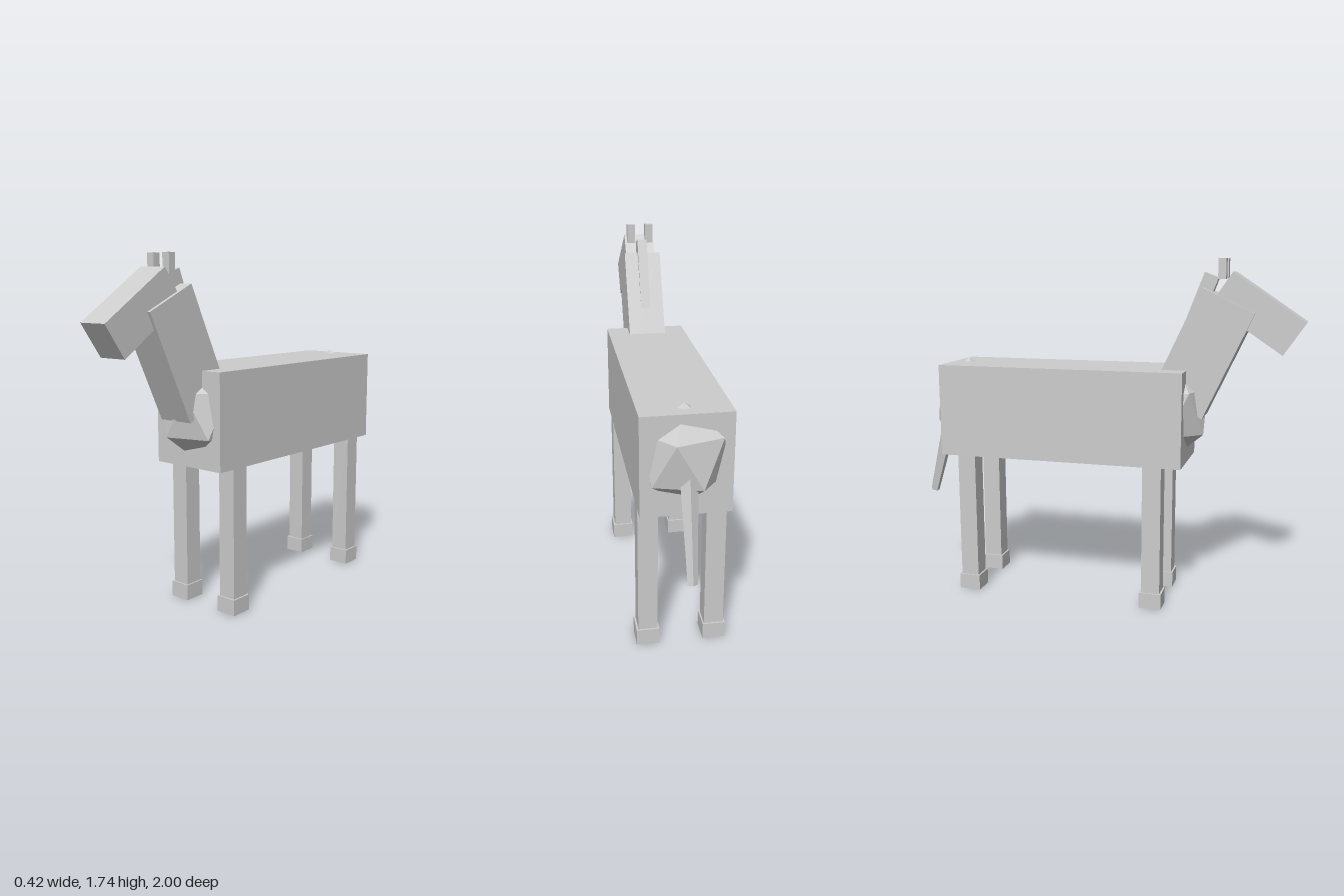
import * as THREE from 'three';
import { ConvexGeometry } from 'three/addons/geometries/ConvexGeometry.js';

export function createModel() {
  const model = new THREE.Group();
  model.name = 'lowPolyHorse';
  const coat = new THREE.MeshStandardMaterial({ color: 0xcccccc, flatShading: true });
  coat.name = 'coatGrey';

  function add(name, geometry, [x, y, z], tilt = 0) {
    const mesh = new THREE.Mesh(geometry, coat);
    mesh.name = name;
    mesh.position.set(x, y, z);
    mesh.rotation.x = tilt;
    model.add(mesh);
  }
  const box = (name, size, position, tilt) =>
    add(name, new THREE.BoxGeometry(...size), position, tilt);

  // Twenty-faced ball: two poles and two staggered rings of five
  function facetedBall(rx, ry, rz) {
    const h = 1 / Math.sqrt(5), r = 2 * h;
    const points = [new THREE.Vector3(0, ry, 0), new THREE.Vector3(0, -ry, 0)];
    for (let i = 0; i < 5; i++) {
      const a = (i * 2 * Math.PI) / 5;
      const x = r * Math.cos(a) * rx, z = r * Math.sin(a) * rz;
      points.push(new THREE.Vector3(x, h * ry, z), new THREE.Vector3(-x, -h * ry, z));
    }
    return new ConvexGeometry(points);
  }

  // Trunk, chest and rump
  box('body', [0.41, 0.47, 1.265], [0, 0.965, 0.1925 - 0.385]);
  add('chest', facetedBall(0.214, 0.242, 0.182), [0, 0.988, 0.37]);
  add('rump', facetedBall(0.214, 0.235, 0.19), [0, 0.987, -0.745]);

  // Neck, mane and head
  box('neck', [0.19, 0.569, 0.283], [0, 1.281, 0.512], 0.436);
  box('mane', [0.05, 0.5, 0.073], [0, 1.423, 0.453], 0.365);
  box('head', [0.156, 0.186, 0.42], [0, 1.4775, 0.772], 0.595);

  // Ears, legs and hooves on both sides
  for (const [side, s] of [['left', 1], ['right', -1]]) {
    box(side + 'Ear', [0.041, 0.097, 0.038], [s * 0.0485, 1.687, 0.598]);
    for (const [end, z] of [['Front', 0.297], ['Back', -0.686]]) {
      box(side + end + 'Leg', [0.092, 0.75, 0.094], [s * 0.157, 0.415, z]);
      box(side + end + 'Hoof', [0.108, 0.08, 0.112], [s * 0.158, 0.04, z]);
    }
  }

  // Five-sided tapering tail with one edge facing backward
  const tail = new THREE.CylinderGeometry(0.044, 0.023, 0.52, 5).rotateY(Math.PI);
  add('tail', tail, [0, 0.727, -0.912], 0.26);

  return model;
}
